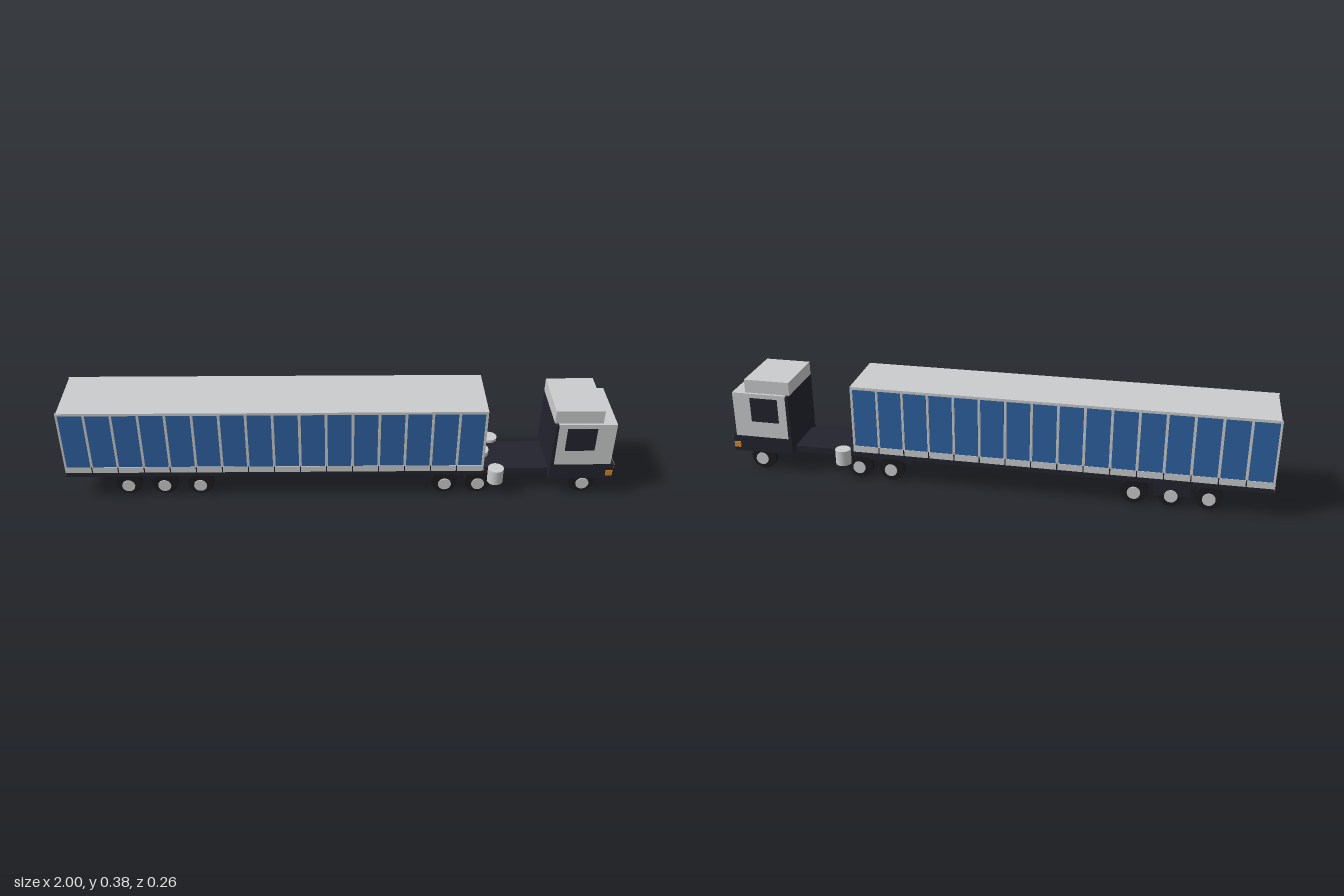
import * as THREE from 'three';

const mat = (name, color) => {
  const m = new THREE.MeshStandardMaterial({ color });
  m.name = name;
  return m;
};

export function createModel() {
  const white = mat('paleGrey', 0xcbcccd);
  const blue = mat('curtainBlue', 0x2e62a3);
  const dark = mat('darkNavy', 0x23232f);
  const rubber = mat('tyreBlack', 0x1c1c20);
  const orange = mat('lampOrange', 0xcf8a25);

  const model = new THREE.Group();
  model.name = 'articulatedTruck';
  const trailer = new THREE.Group();
  trailer.name = 'trailer';
  const tractor = new THREE.Group();
  tractor.name = 'tractor';
  model.add(trailer, tractor);

  const add = (parent, name, geometry, material) => {
    const mesh = new THREE.Mesh(geometry, material);
    mesh.name = name;
    parent.add(mesh);
    return mesh;
  };
  // Box given by its minimum and maximum on each axis
  const box = (parent, name, material, [x0, x1], [y0, y1], [z0, z1]) => {
    const mesh = add(parent, name, new THREE.BoxGeometry(x1 - x0, y1 - y0, z1 - z0), material);
    mesh.position.set((x0 + x1) / 2, (y0 + y1) / 2, (z0 + z1) / 2);
    return mesh;
  };
  // The same box on both sides of the vehicle
  const pair = (parent, name, material, x, y, [z0, z1]) => {
    box(parent, name + 'Left', material, x, y, [z0, z1]);
    box(parent, name + 'Right', material, x, y, [-z1, -z0]);
  };

  // Trailer body, floor and rear doors
  box(trailer, 'cargoBody', white, [-0.994, 0.523], [0.12, 0.38], [-0.118, 0.118]);
  box(trailer, 'trailerFloor', dark, [-0.998, 0.523], [0.1, 0.12], [-0.118, 0.118]);
  box(trailer, 'rearDoors', dark, [-0.999, -0.994], [0.12, 0.375], [-0.118, 0.118]);
  pair(trailer, 'rearLamp', orange, [-1, -0.994], [0.108, 0.135], [0.098, 0.116]);
  pair(trailer, 'topRail', white, [-0.998, 0.523], [0.37, 0.38], [0.118, 0.1215]);
  pair(trailer, 'lowerRail', white, [-0.998, 0.523], [0.12, 0.145], [0.118, 0.1215]);

  // Curtain panels separated by pale posts
  const count = 16;
  const start = -0.995;
  const pitch = 1.514 / count;
  for (let i = 0; i < count; i++) {
    const x = start + i * pitch;
    pair(trailer, 'curtainPanel', blue, [x + 0.005, x + pitch - 0.005], [0.145, 0.37], [0.118, 0.12]);
    pair(trailer, 'post', white, [x - 0.003, x + 0.003], [0.145, 0.37], [0.118, 0.1215]);
    if (i > 0) pair(trailer, 'railJoint', dark, [x - 0.002, x + 0.002], [0.12, 0.145], [0.1212, 0.122]);
  }
  pair(trailer, 'frontPost', white, [0.516, 0.523], [0.145, 0.37], [0.118, 0.1215]);
  box(trailer, 'toolBox', dark, [-0.715, -0.585], [0.046, 0.1], [-0.103, -0.076]);

  // Wheels: tyre, stub axle and hub disc
  const tyreGeo = new THREE.CylinderGeometry(0.048, 0.048, 0.018, 24).rotateX(Math.PI / 2);
  const stubGeo = new THREE.CylinderGeometry(0.006, 0.006, 0.016, 8).rotateX(Math.PI / 2);
  const hubGeo = new THREE.CylinderGeometry(0.024, 0.024, 0.004, 16).rotateX(Math.PI / 2);
  const axles = [[trailer, -0.78], [trailer, -0.647], [trailer, -0.515],
    [tractor, 0.387], [tractor, 0.51], [tractor, 0.897]];
  for (const [parent, x] of axles) {
    for (const s of [1, -1]) {
      const wheel = new THREE.Group();
      wheel.name = s > 0 ? 'wheelLeft' : 'wheelRight';
      wheel.position.set(x, 0.048, 0);
      add(wheel, 'tyre', tyreGeo, rubber).position.z = s * 0.082;
      add(wheel, 'stubAxle', stubGeo, rubber).position.z = s * 0.098;
      add(wheel, 'hub', hubGeo, white).position.z = s * 0.107;
      parent.add(wheel);
    }
  }

  // Tractor frame, coupling and fuel tanks
  box(tractor, 'frame', dark, [0.5, 0.78], [0.079, 0.104], [-0.085, 0.085]);
  box(tractor, 'rearDeck', dark, [0.31, 0.545], [0.075, 0.112], [-0.09, 0.09]);
  add(tractor, 'couplingDisc', new THREE.CylinderGeometry(0.037, 0.037, 0.018, 24), white)
    .position.set(0.52, 0.121, 0);
  for (const s of [1, -1]) {
    add(tractor, s > 0 ? 'tankLeft' : 'tankRight', new THREE.CylinderGeometry(0.029, 0.029, 0.058, 20), white)
      .position.set(0.573, 0.087, s * 0.1);
  }

  // Cab shell
  box(tractor, 'cabBody', white, [0.778, 0.985], [0.145, 0.32], [-0.119, 0.119]);
  box(tractor, 'cabBackWall', dark, [0.766, 0.778], [0.08, 0.316], [-0.12, 0.12]);
  box(tractor, 'cabBase', dark, [0.778, 0.985], [0.082, 0.145], [-0.119, 0.119]);
  box(tractor, 'cabFloor', dark, [0.778, 0.98], [0.072, 0.082], [-0.07, 0.07]);
  box(tractor, 'roofDeflector', white, [0.763, 0.936], [0.32, 0.371], [-0.109, 0.109]);
  box(tractor, 'bumper', dark, [0.985, 0.998], [0.082, 0.146], [-0.121, 0.121]);

  // Cab glass, lamps and grille
  pair(tractor, 'sideWindow', dark, [0.81, 0.917], [0.208, 0.303], [0.119, 0.121]);
  box(tractor, 'windscreen', dark, [0.985, 0.991], [0.243, 0.3], [-0.105, 0.105]);
  pair(tractor, 'headlamp', white, [0.997, 1], [0.123, 0.144], [0.073, 0.118]);
  pair(tractor, 'markerLamp', orange, [0.972, 0.996], [0.097, 0.119], [0.119, 0.1235]);
  box(tractor, 'grille', dark, [0.985, 0.989], [0.155, 0.223], [-0.091, 0.091]);
  for (let i = 0; i < 5; i++) {
    const y = 0.159 + i * 0.0115;
    box(tractor, 'grilleSlat', white, [0.989, 0.993], [y, y + 0.008], [-0.086, 0.086]);
  }
  return model;
}
